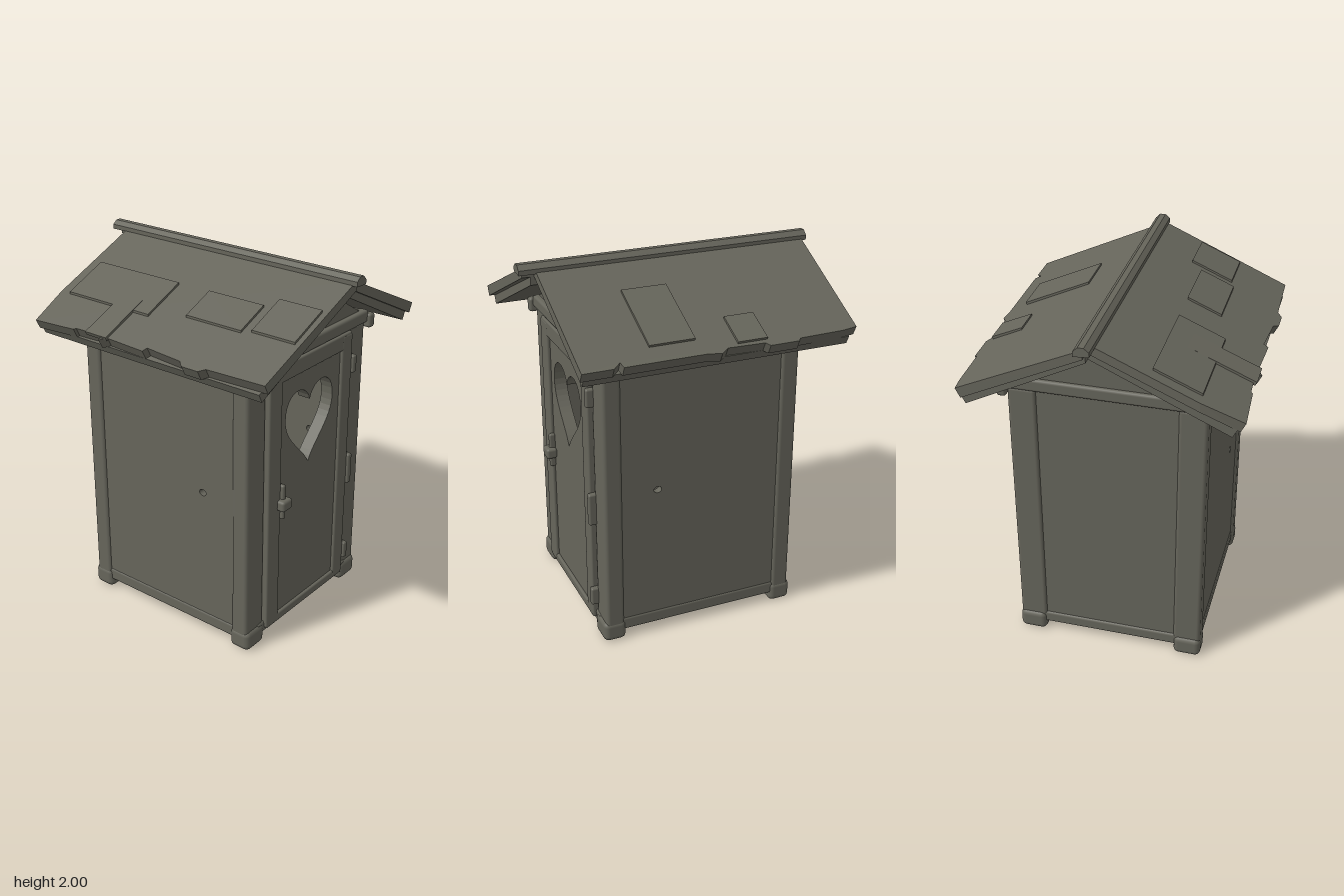
import * as THREE from 'three';
import { RoundedBoxGeometry } from 'three/addons/geometries/RoundedBoxGeometry.js';

const wood = new THREE.MeshStandardMaterial({ color: 0x66655b });
wood.name = 'weathered wood';

const RIDGE_Z = -0.04, RIDGE_Y = 1.975;
const roofTop = (z) => RIDGE_Y - Math.abs(z - RIDGE_Z) * (z > RIDGE_Z ? 0.43 : 0.47);

export function createModel() {
  const model = new THREE.Group();
  model.name = 'woodenOuthouse';

  const add = (name, geometry) => {
    const mesh = new THREE.Mesh(geometry, wood);
    mesh.name = name;
    model.add(mesh);
    return mesh;
  };
  // Softened beam given by its extents
  const beam = (name, x0, x1, y0, y1, z0, z1, r = 0.015) => {
    const size = [x1 - x0, y1 - y0, z1 - z0];
    const radius = Math.min(r, Math.min(...size) * 0.4);
    const mesh = add(name, new RoundedBoxGeometry(...size, 2, radius));
    mesh.position.set((x0 + x1) / 2, (y0 + y1) / 2, (z0 + z1) / 2);
    return mesh;
  };
  const polygon = (pts) => new THREE.Shape(pts.map(([a, b]) => new THREE.Vector2(a, b)));
  // Panel drawn in (-z, y) and extruded along x from x0
  const sidePanel = (name, shape, x0, depth) => {
    const g = new THREE.ExtrudeGeometry(shape, { depth, bevelEnabled: false, curveSegments: 12 });
    add(name, g.rotateY(Math.PI / 2).translate(x0, 0, 0));
  };
  const heart = () => {
    const p = new THREE.Path();
    p.moveTo(0, 0.94);
    p.bezierCurveTo(0.05, 1.04, 0.21, 1.12, 0.21, 1.25);
    p.bezierCurveTo(0.21, 1.42, 0.03, 1.41, 0, 1.3);
    p.bezierCurveTo(-0.03, 1.41, -0.21, 1.42, -0.21, 1.25);
    p.bezierCurveTo(-0.21, 1.12, -0.05, 1.04, 0, 0.94);
    return p;
  };

  // Front and back walls, each with a small knot hole
  for (const side of [1, -1]) {
    const shape = polygon([[-0.5, 0.06], [0.5, 0.06], [0.5, 1.62], [-0.5, 1.62]]);
    const knot = new THREE.Path();
    knot.absellipse(0.245, 0.86, 0.022, 0.018, 0, Math.PI * 2);
    shape.holes.push(knot);
    const g = new THREE.ExtrudeGeometry(shape, { depth: 0.04, bevelEnabled: false });
    add(side > 0 ? 'frontWall' : 'backWall', g.translate(0, 0, side > 0 ? 0.46 : -0.5));
    const z = side * 0.505;
    beam('wallPlate', -0.58, 0.58, 1.54, 1.62, Math.min(z, z + side * 0.05), Math.max(z, z + side * 0.05));
    beam('bottomRail', -0.46, 0.46, 0.05, 0.125, Math.min(z, z - side * 0.08), Math.max(z, z - side * 0.08));
  }

  // Gabled end walls; the doorway end has a heart opening
  for (const side of [1, -1]) {
    const wall = polygon([[-0.5, 0.06], [0.5, 0.06], [0.5, 1.62], [0.04, 1.9], [-0.5, 1.65]]);
    if (side > 0) wall.holes.push(heart());
    sidePanel(side > 0 ? 'doorWall' : 'plainWall', wall, side > 0 ? 0.48 : -0.53, 0.05);
    const x = side > 0 ? 0.5 : -0.55;
    beam('gableBeam', x, x + 0.06, 1.57, 1.64, -0.52, 0.52);
    beam('sideRail', side > 0 ? 0.46 : -0.54, side > 0 ? 0.55 : -0.46, 0.05, 0.12, -0.42, 0.42);
  }
  beam('floor', -0.49, 0.49, 0.06, 0.09, -0.49, 0.49, 0.005);

  // Corner posts and feet
  for (const sx of [1, -1]) for (const sz of [1, -1]) {
    const post = add('cornerPost', new RoundedBoxGeometry(0.1, 1.5, 0.15, 2, 0.02));
    post.position.set(sx * 0.493, 0.83, sz * 0.438);
    const foot = add('foot', new RoundedBoxGeometry(0.125, 0.115, 0.15, 2, 0.03));
    foot.position.set(sx * 0.495, 0.0575, sz * 0.442);
  }

  // Door with heart cut-out, set in a frame
  const door = polygon([[-0.26, 0.12], [0.27, 0.12], [0.27, 1.48], [-0.26, 1.48]]);
  door.holes.push(heart());
  sidePanel('door', door, 0.515, 0.035);
  beam('doorJamb', 0.5, 0.568, 0.08, 1.56, 0.26, 0.365, 0.01);
  beam('doorJamb', 0.5, 0.568, 0.08, 1.56, -0.36, -0.27, 0.01);
  beam('doorLintel', 0.5, 0.566, 1.48, 1.57, -0.36, 0.36, 0.01);
  beam('doorSill', 0.5, 0.566, 0.07, 0.12, -0.36, 0.36, 0.01);
  for (const [y0, y1] of [[1.33, 1.43], [0.66, 0.84], [0.17, 0.27]])
    beam('hinge', 0.53, 0.582, y0, y1, -0.39, -0.355, 0.01);
  beam('latchBar', 0.55, 0.61, 0.77, 0.83, 0.21, 0.29);
  beam('latchPlate', 0.55, 0.585, 0.71, 0.91, 0.235, 0.262);

  // Peg under the gable peak
  const peg = add('gablePeg', new THREE.SphereGeometry(0.035, 10, 8));
  peg.scale.set(1.6, 1, 0.8);
  peg.position.set(0.54, 1.83, 0);

  // Roof sheets: outlines in (x, z) dropped onto the slope
  const roofSheet = (name, pts, depth, lift = 0) => {
    const g = new THREE.ExtrudeGeometry(polygon(pts), { depth, bevelEnabled: false });
    g.rotateX(Math.PI / 2);
    const p = g.attributes.position;
    for (let i = 0; i < p.count; i++) {
      const z = p.getZ(i), below = p.getY(i) + lift;
      p.setY(i, roofTop(z) + below);
      if (Math.abs(z) > 0.6) p.setZ(i, z + Math.sign(z) * below * 0.5);
    }
    g.computeVertexNormals();
    add(name, g);
  };
  roofSheet('frontRoof', [
    [-0.71, RIDGE_Z], [-0.715, 0.5], [-0.69, 0.715], [-0.43, 0.7], [-0.42, 0.69], [-0.25, 0.685],
    [-0.24, 0.715], [-0.2, 0.69], [0.04, 0.7], [0.05, 0.675], [0.27, 0.69], [0.3, 0.715],
    [0.4, 0.715], [0.43, 0.69], [0.765, 0.68], [0.775, RIDGE_Z]], 0.05);
  roofSheet('backRoof', [
    [-0.775, RIDGE_Z], [-0.76, -0.69], [-0.68, -0.7], [-0.43, -0.705], [-0.42, -0.72], [-0.26, -0.72],
    [-0.24, -0.7], [-0.04, -0.695], [0, -0.72], [0.08, -0.71], [0.5, -0.71], [0.51, -0.68],
    [0.55, -0.71], [0.71, -0.71], [0.71, RIDGE_Z]], 0.05);
  const rect = (x0, x1, z0, z1) => [[x0, z0], [x1, z0], [x1, z1], [x0, z1]];
  roofSheet('frontRoofLining', rect(-0.69, 0.73, RIDGE_Z, 0.7), 0.045, -0.048);
  roofSheet('backRoofLining', rect(-0.73, 0.69, -0.7, RIDGE_Z), 0.045, -0.048);

  // Slightly raised repair boards
  for (const [x0, x1, z0, z1] of [
    [-0.65, -0.1, 0.26, 0.5], [-0.34, -0.2, 0.36, 0.7], [0.1, 0.44, 0.26, 0.44], [0.49, 0.74, 0.2, 0.42],
    [0.1, 0.34, -0.62, -0.27], [-0.26, -0.1, -0.68, -0.52]])
    roofSheet('repairBoard', rect(x0, x1, z0, z1), 0.02, 0.012);

  // Ridge cap
  const cap = polygon([[0, 1.955], [0.08, 1.95], [0.08, 1.975], [0.055, 2], [0.025, 2], [0, 1.98]]);
  sidePanel('ridgeCap', cap, -0.8, 1.6);

  return model;
}
